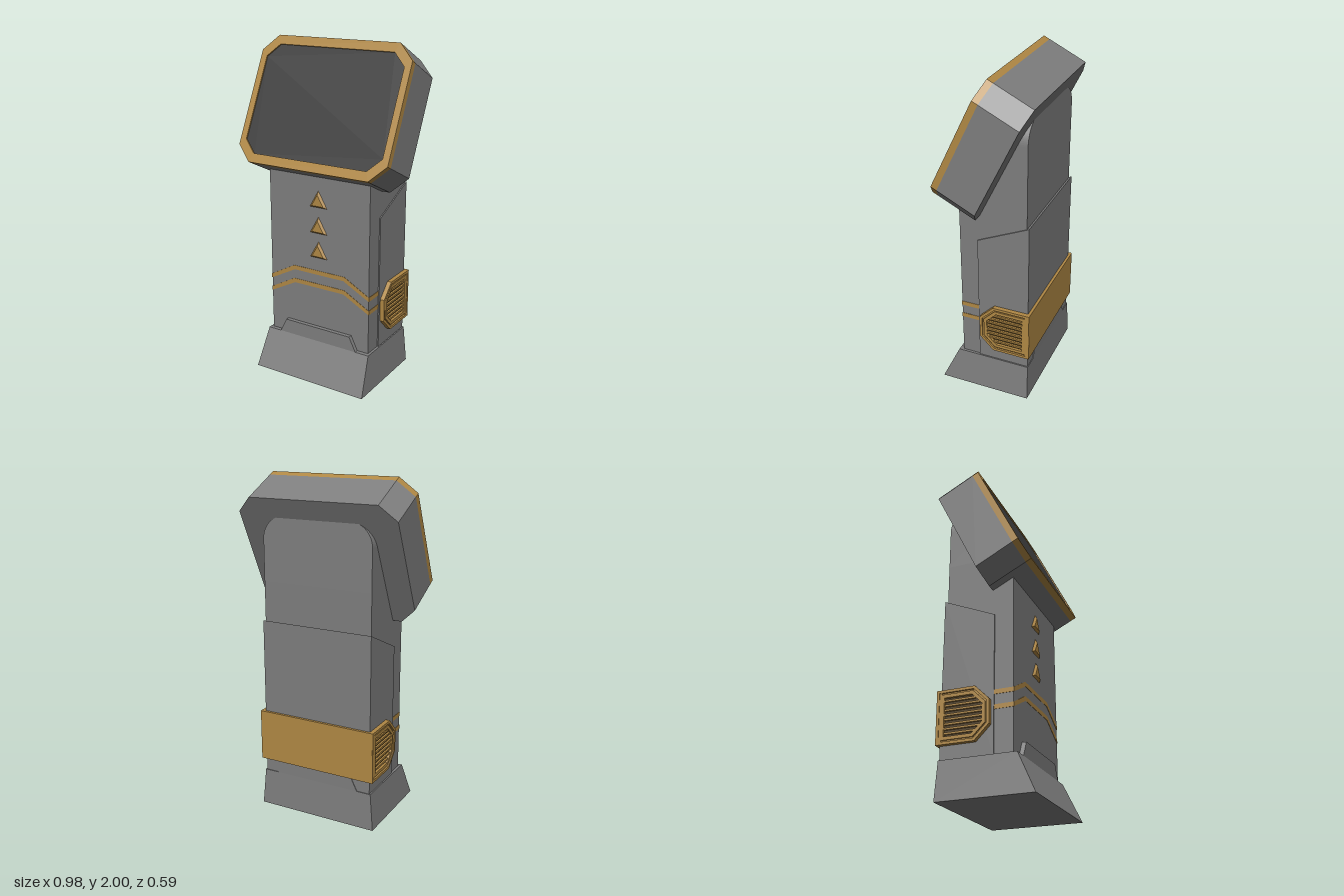
import * as THREE from 'three';

const mat = (name, color) => {
  const m = new THREE.MeshStandardMaterial({ color });
  m.name = name;
  return m;
};

const toShape = (pts) => new THREE.Shape(pts.map(([x, y]) => new THREE.Vector2(x, y)));

// Plate in the x/y plane running from z0 to z1, with an optional hole
function plate(pts, z0, z1, hole) {
  const shape = toShape(pts);
  if (hole) shape.holes.push(toShape(hole));
  return new THREE.ExtrudeGeometry(shape, { depth: z1 - z0, bevelEnabled: false }).translate(0, 0, z0);
}

// Profile given as (z, y), running from x0 to x1
function sidePlate(pts, x0, x1, hole) {
  return plate(pts, -x1, -x0, hole).rotateY(-Math.PI / 2);
}

// Rectangle with cut corners
function octagon(w, h, c) {
  return [[-w + c, -h], [w - c, -h], [w, -h + c], [w, h - c], [w - c, h], [-w + c, h], [-w, h - c], [-w, -h + c]];
}

// Outline (z, y) of the side vent, moved inwards by t
function ventOutline(t) {
  const b = -0.27 + t, f = 0.04 - t, top = 0.61 - t, low = 0.303 + t, c = 0.085 - 0.586 * t;
  return [[b, low], [f - c, low], [f, low + c], [f, top - c], [f - c, top], [b, top]];
}

export function createModel() {
  const grey = mat('grey casing', 0x7e7e7e);
  const gold = mat('gold trim', 0xb08844);
  const dark = mat('dark screen', 0x3a3a3a);
  const recess = mat('vent recess', 0x4a3819);

  const model = new THREE.Group();
  const add = (name, geo, material, parent = model) => {
    const m = new THREE.Mesh(geo, material);
    m.name = name;
    parent.add(m);
    return m;
  };

  // Flared base
  const base = new THREE.BoxGeometry(1, 1, 1).toNonIndexed();
  const p = base.attributes.position;
  for (let i = 0; i < p.count; i++) {
    const up = p.getY(i) > 0, front = p.getZ(i) > 0;
    p.setXYZ(i, Math.sign(p.getX(i)) * (up ? 0.355 : 0.375), up ? 0.225 : 0,
      front ? (up ? 0.19 : 0.295) : (up ? -0.259 : -0.265));
  }
  base.computeVertexNormals();
  add('base', base, grey);

  // Raised tabs on the front and back of the base
  const tab = [[-0.27, 0.22], [0.27, 0.22], [0.225, 0.312], [-0.225, 0.312]];
  add('frontTab', plate(tab, 0.16, 0.19), grey);
  add('backTab', plate(tab, -0.259, -0.23), grey);

  // Column, with a rounded upper back that runs into the head
  add('column', new THREE.BoxGeometry(0.68, 1.2, 0.405).translate(0, 0.8, -0.0375), grey);
  const arch = new THREE.Shape();
  const r = 0.13, top = 1.775;
  arch.moveTo(-0.34, 1.4);
  arch.lineTo(0.34, 1.4);
  arch.lineTo(0.34, top - r);
  arch.absarc(0.34 - r, top - r, r, 0, Math.PI / 2);
  arch.lineTo(-0.34 + r, top);
  arch.absarc(-0.34 + r, top - r, r, Math.PI / 2, Math.PI);
  add('columnTop', new THREE.ExtrudeGeometry(arch, { depth: 0.24, bevelEnabled: false, curveSegments: 10 })
    .translate(0, 0, -0.24), grey);

  // Rear cover wrapped around the column
  add('rearCover', sidePlate([[0.055, 0.22], [0.055, 1.03], [-0.255, 1.17], [-0.255, 0.22]].reverse(),
    -0.347, 0.347), grey);

  // Tilted head: casing, frame and sunken screen
  const head = new THREE.Group();
  head.name = 'head';
  head.position.set(0, 1.655, 0.1275);
  head.rotation.x = -Math.atan2(0.335, 0.69);
  model.add(head);
  const outer = octagon(0.49, 0.3835, 0.095), inner = octagon(0.45, 0.329, 0.077);
  add('headCasing', plate(outer, -0.282, -0.038), grey, head);
  add('screenFrame', plate(outer, -0.038, 0, inner), gold, head);
  add('screen', plate(inner, -0.038, -0.008), dark, head);

  // Column of triangular studs
  for (const y of [1.115, 0.957, 0.805]) {
    const stud = new THREE.CylinderGeometry(0.045, 0.069, 0.014, 3).toNonIndexed();
    stud.computeVertexNormals();
    stud.rotateX(Math.PI / 2).rotateZ(Math.PI);
    // point the triangle upwards whichever way the cylinder starts
    const q = stud.attributes.position;
    let hi = 0, lo = 0;
    for (let i = 0; i < q.count; i++) { hi = Math.max(hi, q.getY(i)); lo = Math.min(lo, q.getY(i)); }
    if (hi < -lo) stud.rotateZ(Math.PI);
    add('triangleStud', stud.translate(0, y - 0.017, 0.171), gold);
  }

  // Two bent stripes across the front, continued on the sides
  for (const y of [0.673, 0.589]) {
    const w = 0.026, drop = 0.09;
    add('frontStripe', plate([[-0.34, y - drop - w], [-0.17, y - w], [0.17, y - w], [0.34, y - drop - w],
      [0.34, y - drop], [0.175, y], [-0.175, y], [-0.34, y - drop]], 0.164, 0.167), gold);
    for (const s of [-1, 1]) {
      add('sideStripe', new THREE.BoxGeometry(0.004, w, 0.112).translate(s * 0.3405, y - drop - w / 2, 0.111), gold);
    }
  }

  // Gold band across the back
  add('backBand', new THREE.BoxGeometry(0.74, 0.307, 0.03).translate(0, 0.4565, -0.256), gold);

  // Stepped side vents with louvres
  for (const s of [-1, 1]) {
    const side = (name, pts, x, hole, material = gold) =>
      add(name, sidePlate(pts, s > 0 ? 0.34 : -x, s > 0 ? x : -0.34, hole), material);
    side('ventOuterRing', ventOutline(0), 0.373, ventOutline(0.016));
    side('ventGroove', ventOutline(0.016), 0.362, ventOutline(0.025));
    side('ventInnerRing', ventOutline(0.025), 0.37, ventOutline(0.044));
    side('ventRecess', ventOutline(0.044), 0.354, null, recess);
    for (let i = 0; i < 8; i++) {
      const y = 0.365 + i * 0.0262;
      const off = Math.max(0, Math.abs(y - 0.4565) - 0.05);
      const z0 = -0.226, z1 = -0.004 - off;
      const slat = new THREE.BoxGeometry(0.013, 0.011, z1 - z0);
      add('louvre', slat.translate(s * 0.359, y, (z0 + z1) / 2), gold);
    }
  }
  return model;
}
